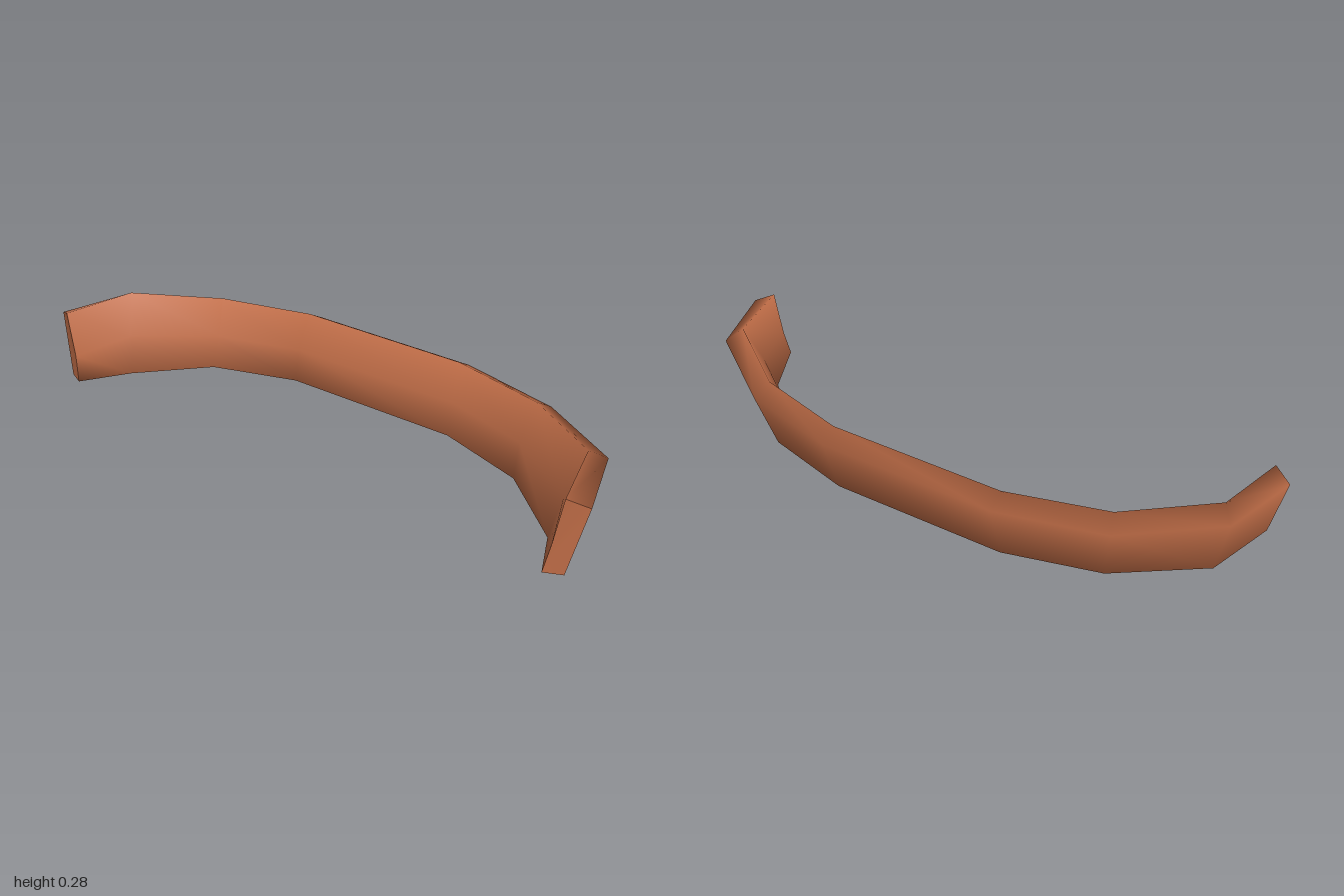
import * as THREE from 'three';

// Cross-sections of the left half, from the tip to the back.
// Order around each: outer top, ridge, inner middle, inner bottom, outer bottom.
const HALF = [
  [[1.0, 0.25, 0.245], [0.94, 0.275, 0.28], [0.915, 0.12, 0.283], [0.9, 0.033, 0.295], [0.955, 0.033, 0.27]],
  [[0.92, 0.245, -0.015], [0.88, 0.28, 0.035], [0.845, 0.14, 0.085], [0.825, 0.015, 0.12], [0.87, 0, 0.06]],
  [[0.64, 0.226, -0.21], [0.62, 0.262, -0.15], [0.6, 0.14, -0.1], [0.605, 0.03, -0.07], [0.61, 0.018, -0.15]],
  [[0.3, 0.226, -0.295], [0.3, 0.26, -0.235], [0.31, 0.14, -0.185], [0.31, 0.03, -0.165], [0.3, 0.016, -0.23]],
];

function makeGeometry(points, index) {
  const geometry = new THREE.BufferGeometry();
  geometry.setAttribute('position', new THREE.Float32BufferAttribute(points.flat(), 3));
  geometry.setIndex(index);
  geometry.computeVertexNormals();
  return geometry;
}

export function createModel() {
  const group = new THREE.Group();
  group.name = 'curvedBand';
  const clay = new THREE.MeshStandardMaterial({ color: 0xc06d47 });
  clay.name = 'terracotta';

  // Mirror the half to get the whole run of cross-sections
  const mirrored = HALF.map((s) => s.map(([x, y, z]) => [-x, y, z])).reverse();
  const sections = [...HALF, ...mirrored];
  const n = HALF[0].length;

  // Smooth bent band
  const index = [];
  for (let i = 0; i < sections.length - 1; i++) {
    for (let j = 0; j < n; j++) {
      const k = (j + 1) % n;
      const a = i * n + j, b = i * n + k, c = b + n, d = a + n;
      index.push(a, d, b, d, c, b);
    }
  }
  const band = new THREE.Mesh(makeGeometry(sections.flat(), index), clay);
  band.name = 'band';
  group.add(band);

  // Flat caps on both tips
  const fan = [0, 1, 2, 0, 2, 3, 0, 3, 4];
  const leftCap = new THREE.Mesh(makeGeometry(sections[0], fan), clay);
  leftCap.name = 'leftEndCap';
  const rightCap = new THREE.Mesh(makeGeometry(sections[sections.length - 1], [...fan].reverse()), clay);
  rightCap.name = 'rightEndCap';
  group.add(leftCap, rightCap);

  return group;
}
